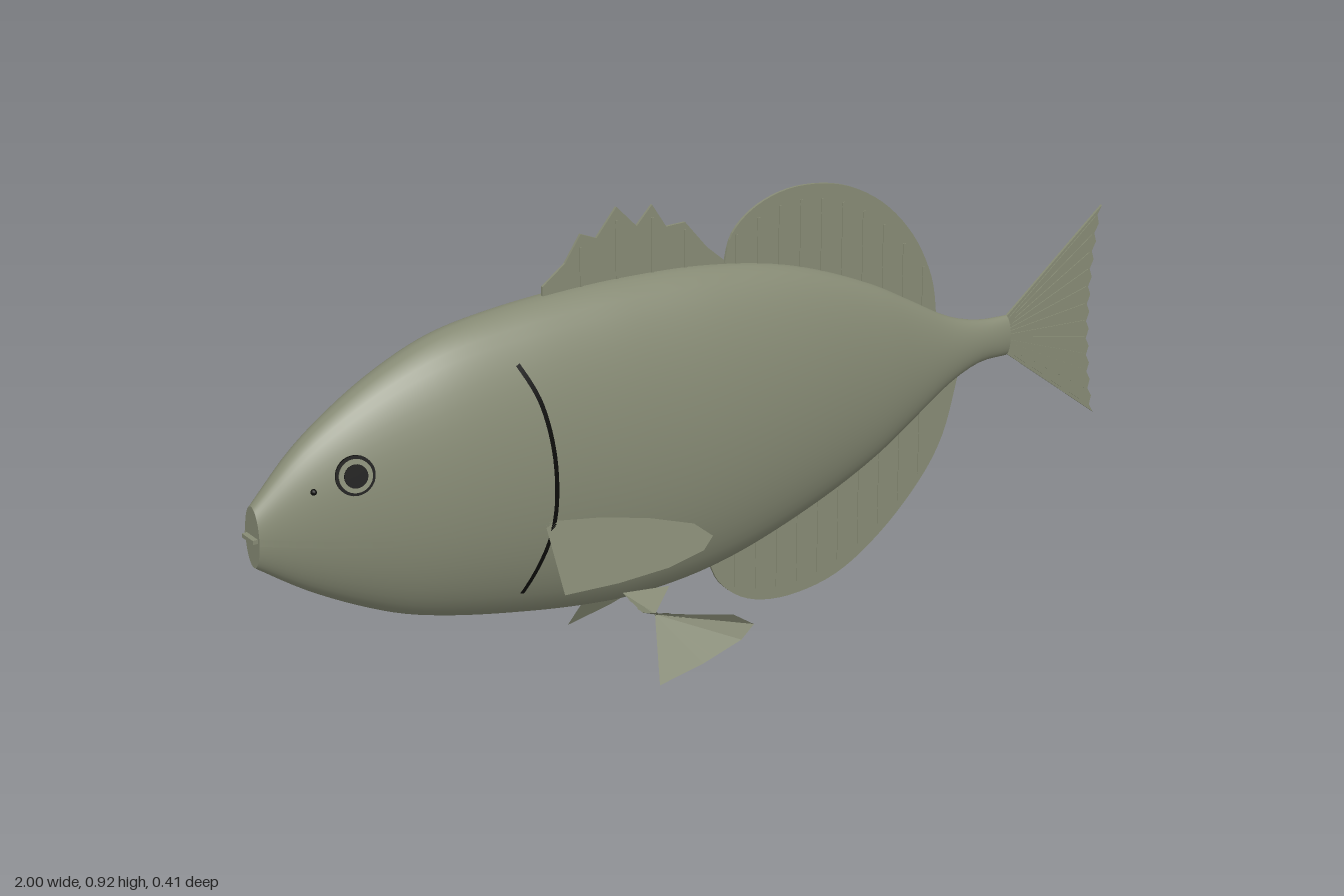
import * as THREE from 'three';

const skin = new THREE.MeshStandardMaterial({ color: 0x878b75, side: THREE.DoubleSide });
skin.name = 'olive skin';
const dark = new THREE.MeshStandardMaterial({ color: 0x0c0c0a, side: THREE.DoubleSide });
dark.name = 'black details';

// Body stations: x, top, bottom, half width
const stations = [
  [-0.99, 0.52, 0.4, 0.026], [-0.9, 0.607, 0.336, 0.054], [-0.8, 0.675, 0.278, 0.08], [-0.7, 0.725, 0.231, 0.101],
  [-0.6, 0.759, 0.199, 0.117], [-0.45, 0.778, 0.164, 0.128], [-0.3, 0.783, 0.137, 0.13], [-0.2, 0.781, 0.127, 0.129],
  [0, 0.764, 0.138, 0.121], [0.2, 0.72, 0.187, 0.1], [0.4, 0.637, 0.263, 0.067], [0.5, 0.58, 0.32, 0.048],
  [0.6, 0.523, 0.379, 0.032], [0.68, 0.498, 0.406, 0.023], [0.75, 0.492, 0.405, 0.018],
];
const profile = new THREE.CubicInterpolant(stations.map(s => s[0]), stations.flatMap(s => s.slice(1)), 3);
const section = x => {
  const [top, bottom, w] = profile.evaluate(x);
  return { mid: (top + bottom) / 2, half: (top - bottom) / 2, w };
};
// Half width of the body surface at a point of its side
const sideZ = (x, y) => {
  const { mid, half, w } = section(Math.max(x, -0.99));
  return w * Math.sqrt(Math.max(0, 1 - ((y - mid) / half) ** 2));
};

function add(parent, name, geometry, material) {
  const mesh = new THREE.Mesh(geometry, material);
  mesh.name = name;
  parent.add(mesh);
  return mesh;
}

function surface(positions, index) {
  const g = new THREE.BufferGeometry();
  g.setAttribute('position', new THREE.Float32BufferAttribute(positions, 3));
  if (index) g.setIndex(index);
  g.computeVertexNormals();
  return g;
}

// Elliptical loft along x
function bodyGeometry(rings = 70, sides = 48) {
  const pos = [], idx = [];
  for (let i = 0; i <= rings; i++) {
    const x = -0.99 + 1.74 * i / rings, { mid, half, w } = section(x);
    for (let j = 0; j < sides; j++) {
      const a = j / sides * Math.PI * 2;
      pos.push(x, mid + half * Math.cos(a), w * Math.sin(a));
      if (i < rings) {
        const p = i * sides + j, q = i * sides + (j + 1) % sides;
        idx.push(p, q, p + sides, q, q + sides, p + sides);
      }
    }
  }
  return surface(pos, idx);
}

function cap(parent, name, x, dir) {
  const { mid, half, w } = section(x);
  const g = new THREE.CircleGeometry(1, 40).scale(w, half, 1).rotateY(dir * Math.PI / 2).translate(x, mid, 0);
  add(parent, name, g, skin);
}

// Narrow ribbon lying on the side of the body
function ribbon(points, width, s) {
  const curve = new THREE.SplineCurve(points.map(p => new THREE.Vector2(...p)));
  const pos = [], idx = [], n = 28;
  for (let i = 0; i <= n; i++) {
    const p = curve.getPoint(i / n), t = curve.getTangent(i / n);
    for (const k of [-0.5, 0.5]) {
      const x = p.x - t.y * width * k, y = p.y + t.x * width * k;
      pos.push(x, y, s * (sideZ(x, y) + 0.003));
    }
    if (i < n) idx.push(2 * i, 2 * i + 1, 2 * i + 2, 2 * i + 1, 2 * i + 3, 2 * i + 2);
  }
  return surface(pos, idx);
}

// Upright fin on the centre line
function flatFin(parent, name, edge, base, smooth) {
  let pts = edge.map(p => new THREE.Vector2(...p));
  if (smooth) pts = new THREE.SplineCurve(pts).getPoints(40);
  const shape = new THREE.Shape([...pts, ...base.map(p => new THREE.Vector2(...p))]);
  const g = new THREE.ExtrudeGeometry(shape, { depth: 0.005, bevelEnabled: false }).translate(0, 0, -0.0025);
  add(parent, name, g, skin);
}

// Raised ray on both faces of an upright fin, from a to b
function finRay(parent, a, b) {
  const dx = b[0] - a[0], dy = b[1] - a[1];
  const m = add(parent, 'finRay', new THREE.BoxGeometry(Math.hypot(dx, dy), 0.006, 0.008), skin);
  m.position.set((a[0] + b[0]) / 2, (a[1] + b[1]) / 2, 0);
  m.rotation.z = Math.atan2(dy, dx);
}

// Paired fin: triangles spread from a root to an outer edge, with raised rays on both faces
function fanFin(parent, name, root, edge, s) {
  const v = p => new THREE.Vector3(p[0], p[1], p[2] * s);
  const r = v(root), pts = edge.map(v), fin = [], rays = [];
  for (let i = 0; i + 1 < pts.length; i++) {
    const a = pts[i], b = pts[i + 1];
    fin.push(...r.toArray(), ...a.toArray(), ...b.toArray());
    const n = a.clone().sub(r).cross(b.clone().sub(r)).normalize();
    const along = b.clone().sub(a).normalize().multiplyScalar(0.003);
    for (const t of [0.3, 0.75]) for (const k of [-0.002, 0.002]) {
      const tip = a.clone().lerp(b, t).lerp(r, 0.06), off = n.clone().multiplyScalar(k);
      for (const p of [r, tip.clone().add(along), tip.clone().sub(along)]) rays.push(...p.clone().add(off).toArray());
    }
  }
  add(parent, name, surface(fin), skin);
  add(parent, name + 'Rays', surface(rays), skin);
}

export function createModel() {
  const fish = new THREE.Group();
  fish.name = 'fish';
  add(fish, 'body', bodyGeometry(), skin);
  cap(fish, 'snout', -0.99, -1);
  cap(fish, 'tailStalkEnd', 0.75, 1);

  // Spiny and soft back fins, belly fin
  flatFin(fish, 'spinyDorsalFin', [[-0.37, 0.8], [-0.32, 0.835], [-0.285, 0.885], [-0.25, 0.87], [-0.205, 0.922],
    [-0.16, 0.875], [-0.125, 0.91], [-0.093, 0.86], [-0.05, 0.86], [0, 0.8], [0.04, 0.765]], [[0.04, 0.7], [-0.37, 0.72]]);
  flatFin(fish, 'softDorsalFin', [[0.04, 0.75], [0.06, 0.815], [0.12, 0.86], [0.21, 0.878], [0.32, 0.86], [0.42, 0.805],
    [0.5, 0.72], [0.55, 0.62], [0.565, 0.53]], [[0.4, 0.55], [0.1, 0.65]], true);
  flatFin(fish, 'analFin', [[0, 0.16], [0.03, 0.09], [0.1, 0.035], [0.2, 0.014], [0.32, 0.03], [0.43, 0.09], [0.53, 0.18],
    [0.59, 0.27], [0.625, 0.39]], [[0.4, 0.35], [0.1, 0.25]], true);
  for (const [x, y] of [[-0.285, 0.86], [-0.205, 0.895], [-0.125, 0.885], [-0.05, 0.845]]) finRay(fish, [x, 0.765], [x, y]);
  for (let i = 0; i < 10; i++) {
    const x = 0.07 + i * 0.051, u = (x - 0.21) / 0.36;
    const { mid, half } = section(x);
    finRay(fish, [x, mid + half * 0.95], [x, 0.85 - 0.26 * u * u]);
    finRay(fish, [x, mid - half * 0.95], [x, 0.04 + 0.2 * u * u]);
  }

  // Tail fan with a scalloped rear edge
  const tail = [[0.75, 0.49]];
  for (let i = 0; i <= 24; i++) {
    const t = i / 24, bow = (2 * t - 1) ** 2;
    tail.push([0.975 + 0.022 * bow - (i % 2) * 0.008, 0.68 - 0.46 * t]);
    if (i % 2 === 1) finRay(fish, [0.755, 0.485 - 0.07 * t], [0.962 + 0.022 * bow, 0.675 - 0.45 * t]);
  }
  flatFin(fish, 'tailFin', tail, [[0.75, 0.41], [0.72, 0.415], [0.72, 0.485]]);

  // Mouth tip
  add(fish, 'lipTip', new THREE.BoxGeometry(0.014, 0.008, 0.04), skin).position.set(-0.993, 0.459, 0);

  for (const s of [1, -1]) {
    const side = new THREE.Group();
    side.name = s > 0 ? 'leftSide' : 'rightSide';
    fish.add(side);

    // Gill slit, lips and cheek line
    add(side, 'gillSlit', ribbon([[-0.48, 0.7], [-0.447, 0.62], [-0.43, 0.5], [-0.436, 0.37], [-0.48, 0.24]], 0.009, s), dark);
    add(side, 'lip', ribbon([[-0.99, 0.459], [-0.9, 0.442], [-0.755, 0.416]], 0.013, s), skin);
    add(side, 'cheekLine', ribbon([[-0.75, 0.53], [-0.665, 0.455], [-0.62, 0.365]], 0.003, s), skin);

    // Eye and nostril, turned to the body surface
    const [ex, ey] = [-0.815, 0.56], e = 0.005;
    const eye = new THREE.Group();
    eye.name = 'eye';
    const normal = new THREE.Vector3(-(sideZ(ex + e, ey) - sideZ(ex - e, ey)) / (2 * e),
      -(sideZ(ex, ey + e) - sideZ(ex, ey - e)) / (2 * e), 1).normalize();
    normal.z *= s;
    eye.position.set(ex, ey, s * sideZ(ex, ey));
    eye.quaternion.setFromUnitVectors(new THREE.Vector3(0, 1, 0), normal);
    [[0.037, 0.006, dark, 'eyeRim'], [0.031, 0.014, skin, 'iris'], [0.022, 0.017, dark, 'pupil']].forEach(([r, h, m, n]) =>
      add(eye, n, new THREE.CylinderGeometry(r, r, h, 28), m));
    side.add(eye);
    add(side, 'nostril', new THREE.SphereGeometry(0.006, 10, 8), dark).position.set(-0.89, 0.54, s * sideZ(-0.89, 0.54));

    // Side fin, a tilted flat fan
    const tilt = ([x, y]) => [x, y, 0.12 + 0.231 * (x + 0.45) - 0.138 * (y - 0.39)];
    fanFin(side, 'pectoralFin', tilt([-0.45, 0.392]), [[-0.34, 0.382], [-0.25, 0.365], [-0.165, 0.34], [-0.13, 0.31], [-0.15, 0.285],
      [-0.22, 0.263], [-0.32, 0.25], [-0.425, 0.245]].map(tilt), s);

    // Belly fin, flaring to the body above and outward below a narrow neck
    fanFin(side, 'pelvicFin', [-0.19, 0.12, 0.098], [[-0.14, 0.158, 0.075], [-0.245, 0.17, 0.07], [-0.238, 0.148, 0.125],
      [-0.14, 0.13, 0.16], [-0.05, 0.105, 0.16], [0, 0.07, 0.16], [-0.03, 0.045, 0.16], [-0.12, 0.02, 0.16],
      [-0.222, 0.003, 0.16]], s);
  }
  return fish;
}
